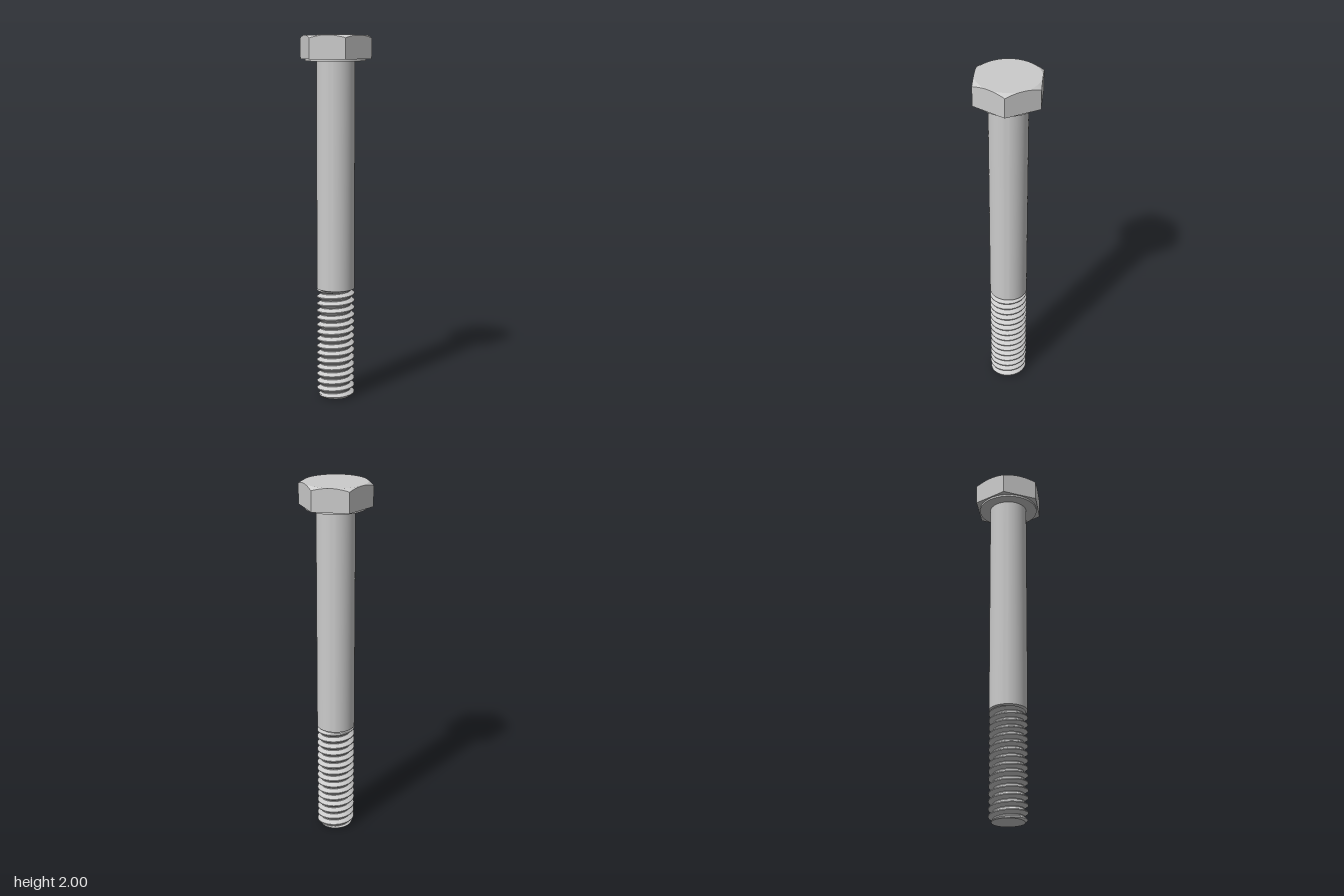
import * as THREE from 'three';
import { toCreasedNormals } from 'three/addons/utils/BufferGeometryUtils.js';

const steel = new THREE.MeshStandardMaterial({ color: 0xcccccc });

const HEAD_TOP = 2, HEAD_BOTTOM = 1.873, APOTHEM = 0.172;
const SHANK_R = 0.104, SHANK_BOTTOM = 0.605, WASHER_BOTTOM = 1.862;
const TURNS = 15, PITCH = SHANK_BOTTOM / TURNS, ROOT_R = 0.083;

// Skins rows of rings, bottom to top; at(angle, row) gives [radius, height].
function loft(name, segments, rows, at, crease = 0.4) {
  const point = (i, j) => {
    const a = (i / segments) * Math.PI * 2;
    const [r, y] = at(a, j);
    return new THREE.Vector3(r * Math.cos(a), y, -r * Math.sin(a));
  };
  const positions = [];
  const tri = new THREE.Triangle();
  const add = (a, b, c) => {
    if (tri.set(a, b, c).getArea() < 1e-9) return; // skip collapsed faces
    for (const p of [a, b, c]) positions.push(p.x, p.y, p.z);
  };
  for (let i = 0; i < segments; i++) {
    for (let j = 0; j < rows - 1; j++) {
      const a = point(i, j), b = point(i + 1, j), c = point(i + 1, j + 1), d = point(i, j + 1);
      add(a, b, c);
      add(a, c, d);
    }
  }
  const geometry = new THREE.BufferGeometry();
  geometry.setAttribute('position', new THREE.Float32BufferAttribute(positions, 3));
  const mesh = new THREE.Mesh(toCreasedNormals(geometry, crease), steel);
  mesh.name = name;
  return mesh;
}

// A round part from a short profile of [radius, height].
const turned = (name, profile) => loft(name, 72, profile.length, (a, j) => profile[j]);

// Hexagonal head, its top corners cut by a 30 degree cone
function makeHead() {
  const sector = Math.PI / 3;
  return loft('hexHead', 96, 5, (a, j) => {
    const hex = APOTHEM / Math.cos((a % sector) - sector / 2);
    const chamferY = HEAD_TOP - (hex - APOTHEM + 0.001) * Math.tan(Math.PI / 6);
    return [
      [0, HEAD_BOTTOM],
      [hex, HEAD_BOTTOM],
      [hex, chamferY],
      [APOTHEM - 0.001, HEAD_TOP],
      [0, HEAD_TOP],
    ][j];
  }, 0.3);
}

// Right-hand helical thread with a chamfered tip
function makeThread() {
  const phases = [0, 0.06, 0.25, 0.44, 0.56, 0.75, 0.94]; // along one pitch
  const rows = (TURNS + 2) * phases.length;
  const radiusAt = (a, y) => {
    const t = y / PITCH - a / (Math.PI * 2);
    const fromCrest = Math.abs(t - Math.floor(t) - 0.5); // 0 at the crest
    const flank = THREE.MathUtils.clamp((0.44 - fromCrest) / 0.38, 0, 1);
    const r = ROOT_R + (SHANK_R - ROOT_R) * flank;
    return Math.min(r, 0.088 + y);
  };
  return loft('thread', 96, rows + 2, (a, j) => {
    if (j === 0) return [0, 0];
    if (j === rows + 1) return [0, SHANK_BOTTOM];
    const k = j - 1, n = phases.length;
    const turn = Math.floor(k / n) - 1 + phases[k % n] + a / (Math.PI * 2);
    const y = THREE.MathUtils.clamp(turn * PITCH, 0, SHANK_BOTTOM);
    return [radiusAt(a, y), y];
  });
}

export function createModel() {
  const bolt = new THREE.Group();
  bolt.name = 'hexBolt';
  bolt.add(
    makeHead(),
    // Thin round bearing face under the head
    turned('washerFace', [[0, WASHER_BOTTOM], [0.164, WASHER_BOTTOM], [0.164, HEAD_BOTTOM]]),
    // Plain shank with a small bevel above the thread
    turned('shank', [
      [0, SHANK_BOTTOM],
      [ROOT_R, SHANK_BOTTOM],
      [SHANK_R, SHANK_BOTTOM + 0.01],
      [SHANK_R, WASHER_BOTTOM],
    ]),
    makeThread(),
  );
  return bolt;
}
